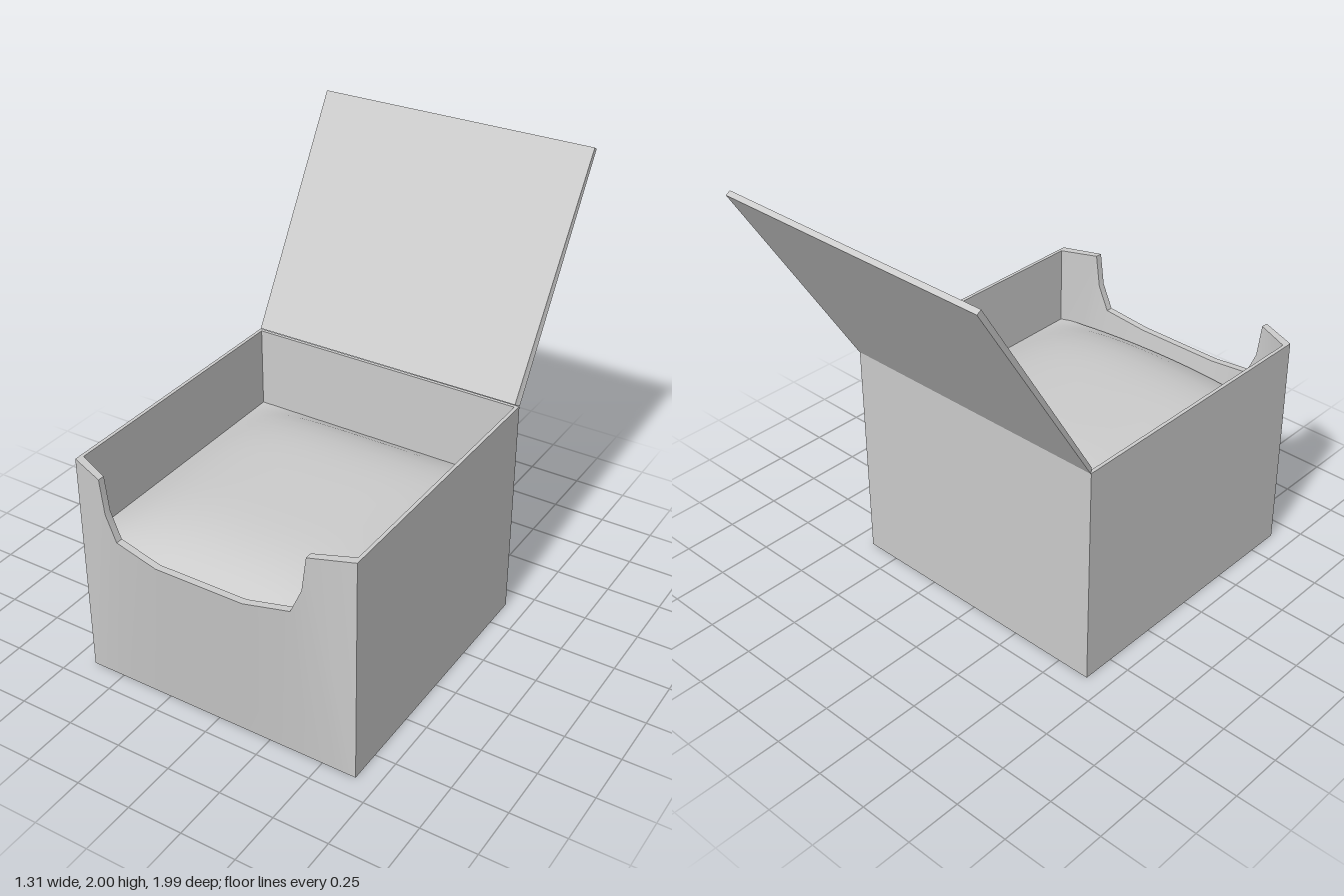
import * as THREE from 'three';
import { toCreasedNormals } from 'three/addons/utils/BufferGeometryUtils.js';

const W = 0.655, T = 0.016, BACK = -0.4, FRONT = 0.9, TOP = 1.04;
const material = new THREE.MeshStandardMaterial({ color: 0xcccccc });

function addMesh(group, name, geometry) {
  const mesh = new THREE.Mesh(geometry, material);
  mesh.name = name;
  group.add(mesh);
  return mesh;
}

// Box given by its minimum and maximum corners
function addBox(group, name, [x0, y0, z0], [x1, y1, z1]) {
  const mesh = addMesh(group, name, new THREE.BoxGeometry(x1 - x0, y1 - y0, z1 - z0));
  mesh.position.set((x0 + x1) / 2, (y0 + y1) / 2, (z0 + z1) / 2);
}

// Surface through rows of points of equal length
function loft(rows) {
  const n = rows[0].length, index = [];
  for (let r = 0; r < rows.length - 1; r++) {
    for (let i = 0; i < n - 1; i++) {
      const a = r * n + i;
      index.push(a, a + 1, a + n + 1, a, a + n + 1, a + n);
    }
  }
  const geometry = new THREE.BufferGeometry();
  geometry.setAttribute('position', new THREE.Float32BufferAttribute(rows.flat(2), 3));
  geometry.setIndex(index);
  return toCreasedNormals(geometry, 0.5);
}

// Bulging front panel with a scooped opening: [x, y, z] of the rim and x of the foot below it
function frontPanel() {
  const half = [
    [-W, TOP, FRONT, -W],
    [-0.48, TOP, 0.97, -0.645],
    [-0.46, 0.885, 0.972, -0.58],
    [-0.41, 0.77, 0.975, -0.45],
    [-0.205, 0.735, 0.995, -0.22],
  ];
  const rim = [...half, ...half.map(([x, y, z, f]) => [-x, y, z, -f]).reverse()];
  const clamp = (x) => THREE.MathUtils.clamp(x, T - W, W - T);
  return loft([
    rim.map(([, , , f]) => [f, 0, FRONT]),
    rim.map(([x, y, z]) => [x, y, z]),
    rim.map(([x, y, z]) => [clamp(x), y, z - 0.032]),
    rim.map(([, , , f]) => [clamp(f), T, FRONT - 0.032]),
  ]);
}

// Softly domed inner surface, its front edge following the panel
function cushionTop() {
  const rows = [], N = 16, inner = W - T;
  for (let r = 0; r <= N; r++) {
    const row = [], t = 1 - (2 * r) / N;
    for (let i = 0; i <= N; i++) {
      const s = (2 * i) / N - 1;
      const front = 0.88 + 0.06 * (1 - s * s);
      const z = THREE.MathUtils.lerp(BACK + T, front, (t + 1) / 2);
      const y = 0.665 + 0.112 * (1 - Math.abs(s) ** 3) * (1 - t ** 4);
      row.push([s * inner, y, z]);
    }
    rows.push(row);
  }
  return loft(rows);
}

// Thin lid, its inner face slightly narrower at the hinge
function lidPanel() {
  const length = 1.113, thickness = 0.024;
  const geometry = new THREE.BoxGeometry(2 * W, length, thickness);
  geometry.translate(0, length / 2, thickness / 2);
  const p = geometry.attributes.position;
  for (let i = 0; i < p.count; i++) {
    if (p.getY(i) < 0.01 && p.getZ(i) > 0.01) p.setX(i, Math.sign(p.getX(i)) * 0.642);
  }
  geometry.computeVertexNormals();
  return geometry;
}

export function createModel() {
  const group = new THREE.Group();
  group.name = 'openBox';

  // Box body
  addBox(group, 'base', [-W, 0, BACK], [W, T, FRONT]);
  addBox(group, 'backWall', [-W, 0, BACK], [W, TOP, BACK + T]);
  addBox(group, 'rightWall', [-W, 0, BACK], [T - W, TOP, FRONT]);
  addBox(group, 'leftWall', [W - T, 0, BACK], [W, TOP, FRONT]);
  addMesh(group, 'frontPanel', frontPanel());
  addMesh(group, 'cushionTop', cushionTop());

  // Lid tilted back on the rear edge
  const lid = addMesh(group, 'lid', lidPanel());
  lid.position.set(0, TOP, -0.403);
  lid.rotation.x = -Math.atan2(0.588, 0.945);

  return group;
}
